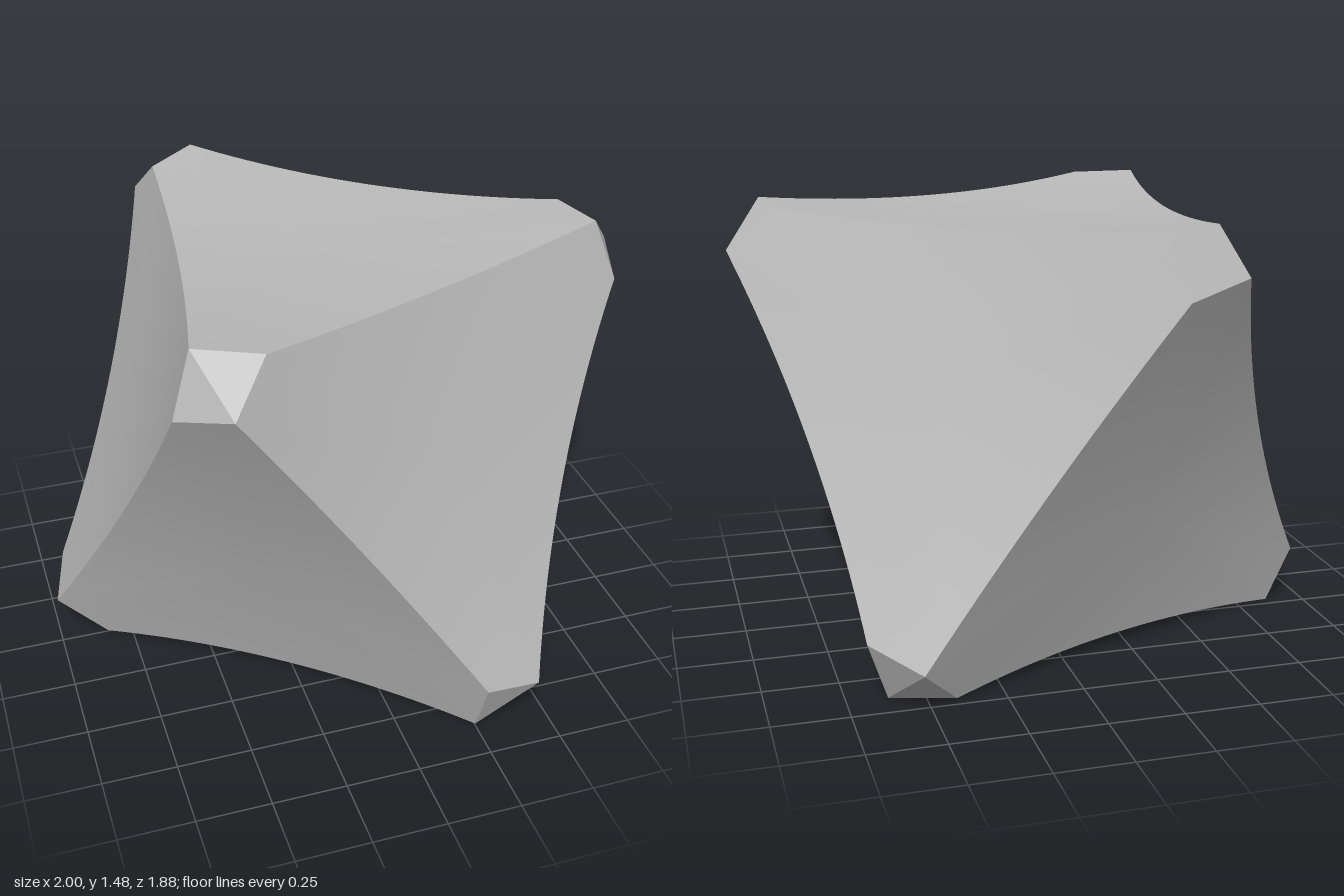
import * as THREE from 'three';

const HIGH = [1.155, 0.13]; // raised tip corner: along its axis, sideways
const LOW = [1.098, 0.17]; // lowered tip corner
const SAG = 0.047; // dip of each long edge
const CENTRE = 0.687; // distance of each face's middle from the core
const LIFT = 0.742;

// Three perpendicular tip axes, tripod-like around the vertical
const axes = [7.7, 127.7, 247.7].map((deg) => {
  const t = THREE.MathUtils.degToRad(deg), r = Math.sqrt(2 / 3);
  return new THREE.Vector3(r * Math.cos(t), Math.sqrt(1 / 3), r * Math.sin(t));
});

// Corner of tip i on the side of axis j
function corner(i, si, j, sj) {
  const [along, side] = j === (i + 1) % 3 ? HIGH : LOW;
  return axes[i].clone().multiplyScalar(along * si).addScaledVector(axes[j], side * sj);
}

function makeGeometry(points, index) {
  const g = new THREE.BufferGeometry().setFromPoints(points);
  g.setIndex(index);
  g.computeVertexNormals();
  return g;
}

// Hollowed face in one octant: rings shrinking from the outline to the middle
function faceGeometry(signs) {
  const loop = [];
  for (let i = 0; i < 3; i++) {
    const j = (i + 1) % 3, k = (i + 2) % 3;
    // Short straight side at the tip
    const a = corner(i, signs[i], k, signs[k]);
    const b = corner(i, signs[i], j, signs[j]);
    for (let n = 0; n < 4; n++) loop.push(a.clone().lerp(b, n / 4));
    // Long sagging edge to the next tip
    const c = corner(j, signs[j], i, signs[i]);
    const out = new THREE.Vector3()
      .addScaledVector(axes[i], signs[i]).addScaledVector(axes[j], signs[j]).normalize();
    for (let n = 0; n < 24; n++) {
      const t = n / 24;
      loop.push(b.clone().lerp(c, t).addScaledVector(out, -SAG * 4 * t * (1 - t)));
    }
  }
  const normal = new THREE.Vector3();
  axes.forEach((axis, i) => normal.addScaledVector(axis, signs[i]));
  normal.normalize();

  const rings = 16, count = loop.length;
  const points = [normal.clone().multiplyScalar(CENTRE)], index = [];
  const flip = signs[0] * signs[1] * signs[2] > 0;
  const tri = (a, b, c) => index.push(...(flip ? [a, c, b] : [a, b, c]));
  for (let r = 1; r <= rings; r++) {
    const s = r / rings;
    for (let n = 0; n < count; n++) {
      const h = loop[n].dot(normal);
      points.push(loop[n].clone().addScaledVector(normal, -h).multiplyScalar(s)
        .addScaledVector(normal, CENTRE + (h - CENTRE) * s * s));
      const m = (n + 1) % count, o = 1 + (r - 1) * count, q = o - count;
      if (r === 1) tri(0, o + n, o + m);
      else {
        tri(q + n, o + n, o + m);
        tri(q + n, o + m, q + m);
      }
    }
  }
  return makeGeometry(points, index);
}

// Blunt tip: two flat triangles meeting at a ridge
function tipGeometry(i, s) {
  const j = (i + 1) % 3, k = (i + 2) % 3;
  const a = corner(i, s, j, 1), b = corner(i, s, j, -1);
  const c = corner(i, s, k, 1), d = corner(i, s, k, -1);
  const points = s > 0 ? [a, b, c, b, a, d] : [b, a, c, a, b, d];
  return makeGeometry(points, [0, 1, 2, 3, 4, 5]);
}

export function createModel() {
  const model = new THREE.Group();
  model.name = 'hollowFacedOctahedron';
  const grey = new THREE.MeshStandardMaterial({ color: 0xbababa });
  grey.name = 'light grey';
  const add = (name, geometry) => {
    const mesh = new THREE.Mesh(geometry, grey);
    mesh.name = name;
    mesh.position.y = LIFT;
    model.add(mesh);
  };

  for (const x of [1, -1]) for (const y of [1, -1]) for (const z of [1, -1]) {
    add('hollowFace', faceGeometry([x, y, z]));
  }
  for (let i = 0; i < 3; i++) for (const s of [1, -1]) add('bluntTip', tipGeometry(i, s));
  return model;
}
